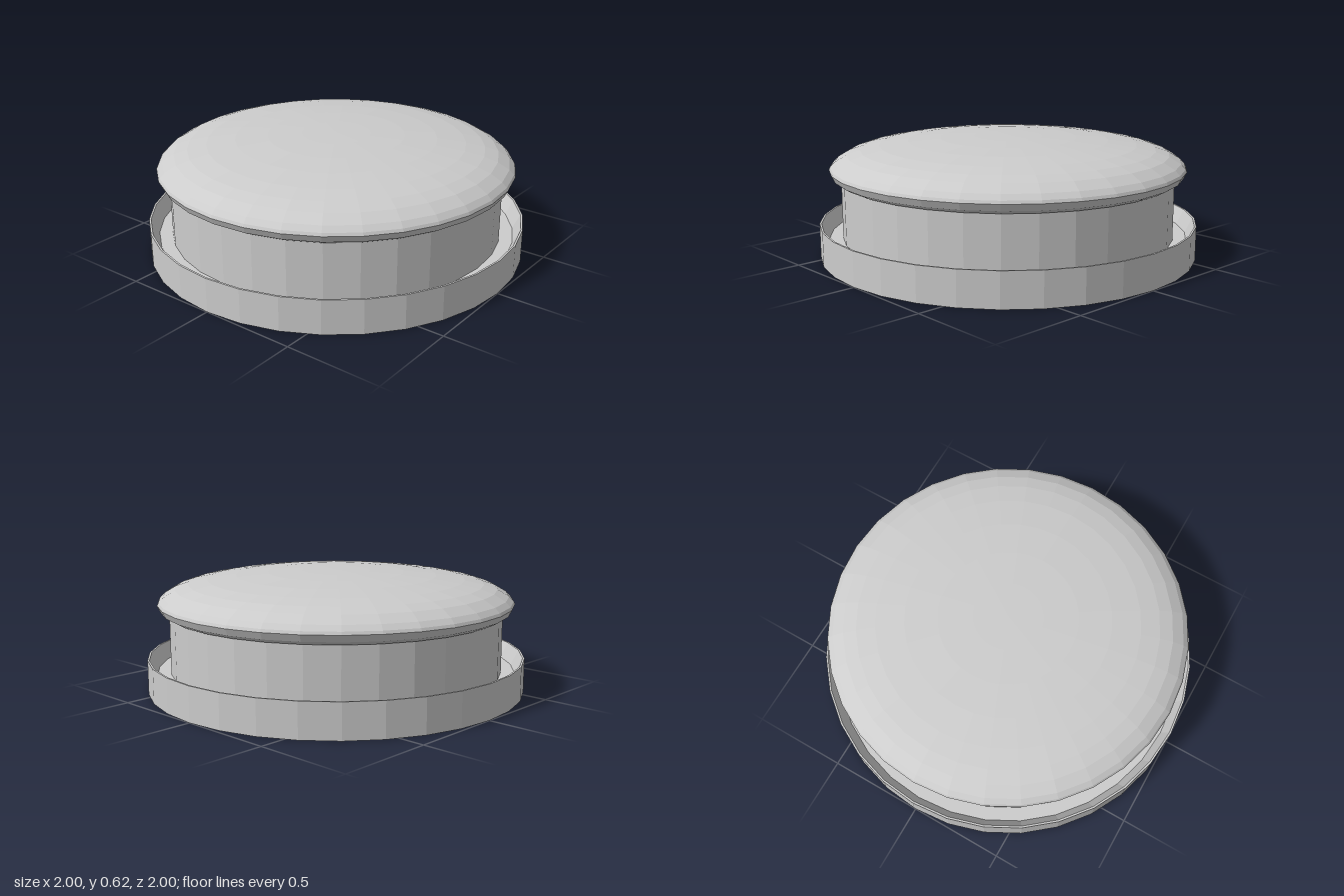
import * as THREE from 'three';

const SIDES = 32;

export function createModel() {
  const group = new THREE.Group();
  const grey = new THREE.MeshStandardMaterial({ color: 0xcccccc, flatShading: true });
  grey.name = 'plain grey';

  // Revolves a profile of [radius, height] points, listed from the bottom up
  const turned = (name, profile) => {
    const points = profile.map(([r, y]) => new THREE.Vector2(r, y));
    const mesh = new THREE.Mesh(new THREE.LatheGeometry(points, SIDES), grey);
    mesh.name = name;
    group.add(mesh);
  };

  // Shallow dish with a sharp rim, a sloped inner wall and a closed underside
  turned('baseDish', [[0, 0], [1, 0], [1, 0.18], [0.99, 0.18], [0.95, 0.1], [0.87, 0.1]]);

  // Straight neck standing in the dish
  turned('neck', [[0.88, 0.1], [0.88, 0.41]]);

  // Domed cap with an overhanging lip
  turned('domedCap', [
    [0.87, 0.41], [0.89, 0.41], [0.925, 0.43], [0.942, 0.465], [0.935, 0.48],
    [0.91, 0.505], [0.85, 0.54], [0.78, 0.563], [0.68, 0.583], [0.53, 0.602],
    [0.36, 0.615], [0.18, 0.622], [0, 0.625],
  ]);

  return group;
}
